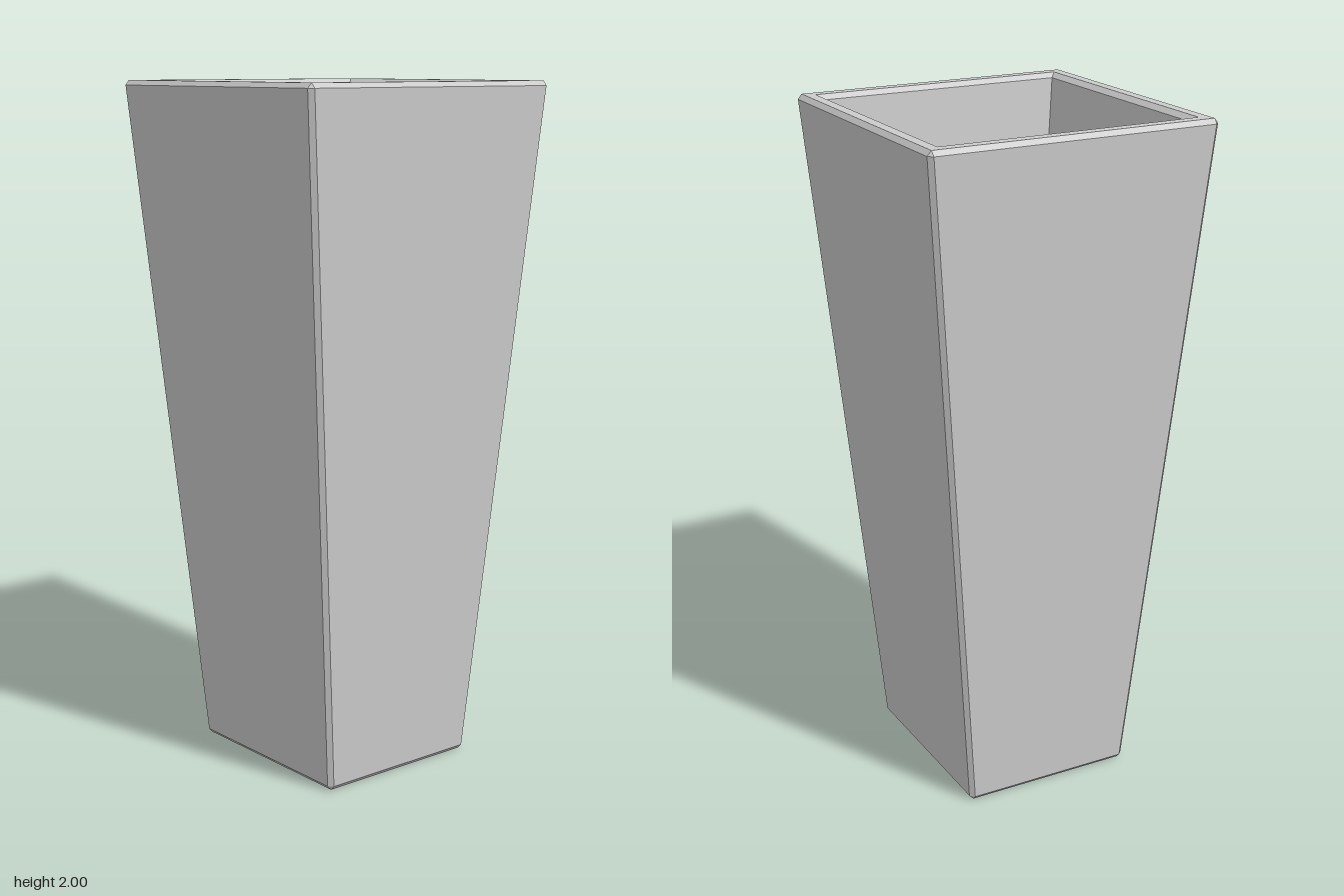
import * as THREE from 'three';

// Rectangular ring of eight points with its corners cut by c (c = 0 gives sharp corners)
function ring([y, hx, hz, c]) {
  return [
    [hx, hz - c], [hx - c, hz], [c - hx, hz], [-hx, hz - c],
    [-hx, c - hz], [c - hx, -hz], [hx - c, -hz], [hx, c - hz],
  ].map(([x, z]) => new THREE.Vector3(x, y, z));
}

// Skin consecutive rings with flat faces, leaving out collapsed triangles
function loft(sections) {
  const rings = sections.map(ring);
  const points = [];
  const addTriangle = (a, b, c) => {
    if (new THREE.Triangle(a, b, c).getArea() > 1e-7) points.push(a, b, c);
  };
  for (let r = 0; r < rings.length - 1; r++) {
    const low = rings[r], high = rings[r + 1];
    for (let i = 0; i < 8; i++) {
      const j = (i + 1) % 8;
      addTriangle(low[i], high[i], low[j]);
      addTriangle(low[j], high[i], high[j]);
    }
  }
  const geometry = new THREE.BufferGeometry().setFromPoints(points);
  geometry.computeVertexNormals();
  return geometry;
}

export function createModel() {
  const group = new THREE.Group();
  group.name = 'planter';
  const material = new THREE.MeshStandardMaterial({ color: 0xcccccc, flatShading: true });

  // Each section: height, half width, half depth, corner cut
  const shell = new THREE.Mesh(loft([
    [0, 0, 0, 0],               // centre of the underside
    [0, 0.291, 0.251, 0],       // underside edge
    [0.014, 0.304, 0.264, 0.013],  // bottom bevel
    [1.986, 0.434, 0.434, 0.013],  // tapered outer walls
    [2, 0.422, 0.422, 0],       // outer rim bevel
    [2, 0.391, 0.391, 0],       // flat rim
    [1.986, 0.376, 0.376, 0],   // inner rim bevel
    [0.06, 0.228, 0.189, 0],    // tapered inner walls
    [0.06, 0, 0, 0],            // inside floor
  ]), material);
  shell.name = 'planterShell';
  group.add(shell);
  return group;
}
